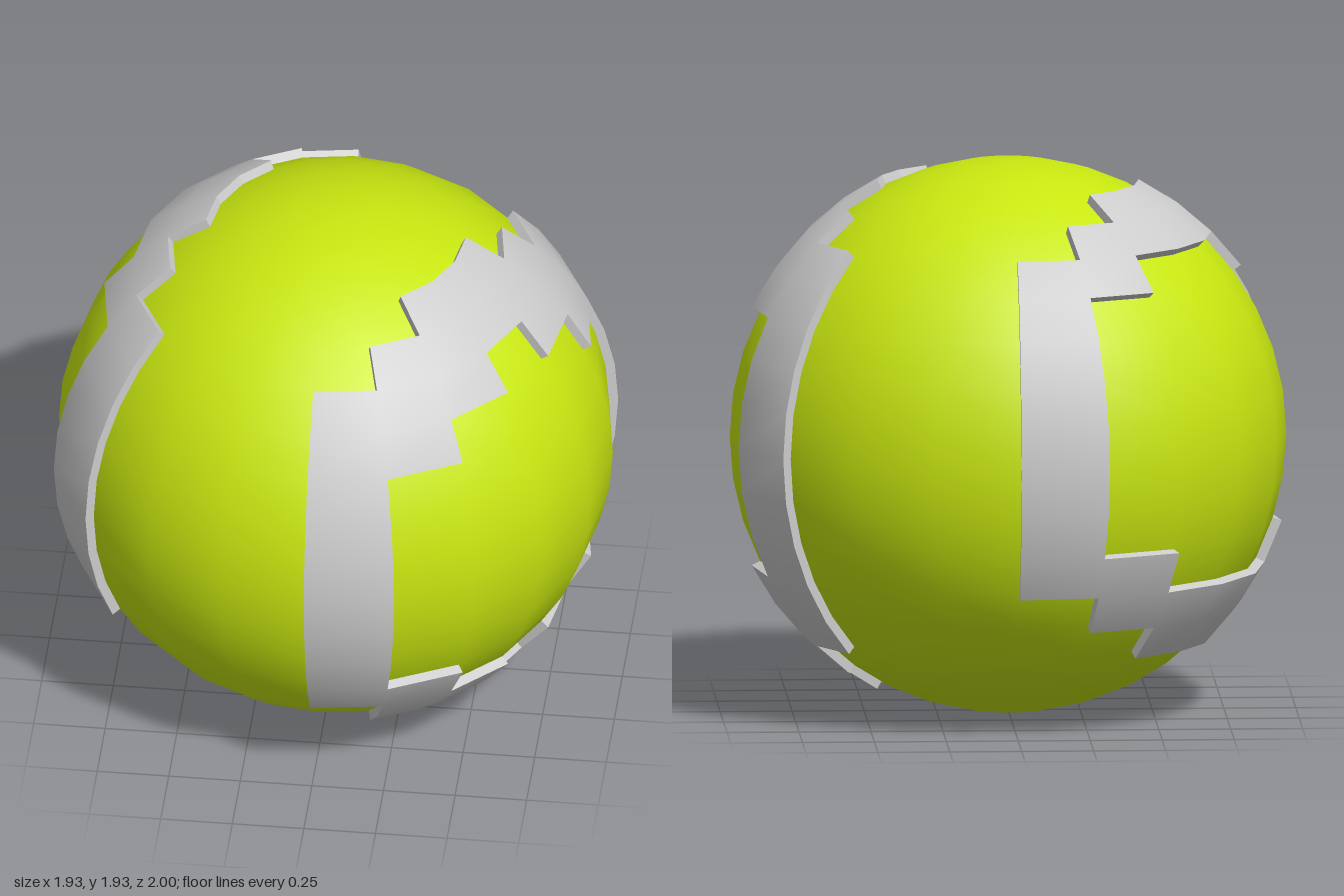
import * as THREE from 'three';

const CENTER_Y = 0.974, BALL_R = 0.967, SEAM_R = 1.0, SEAM_INNER_R = 0.95;
const COLUMN = Math.PI / 10, ROW = Math.PI / 20; // 18 degree columns, 9 degree rows

// Bands per column: column number -> list of [lowest row, highest row] counted from the equator
const leftBands = {
  0: [[-4, 5]],
  1: [[3, 6], [-6, -3]],
  2: [[4, 7], [-7, -4]],
  3: [[5, 7], [-7, -5]],
  4: [[4, 7], [-7, -4]],
  5: [[3, 6], [-6, -3]],
  6: [[-5, 5]],
};
const rightBands = {
  10: [[-3, 5]],
  11: [[4, 6], [-4, -2]],
  12: [[5, 7], [-5, -3]],
  13: [[5, 7], [-5, -3]],
  14: [[5, 7], [-5, -3]],
  15: [[4, 6], [-4, -2]],
  16: [[-3, 5]],
};

// Point on a sphere at a grid corner; column 0 starts at the front (+z)
function gridPoint([column, row], radius) {
  const lon = column * COLUMN, lat = row * ROW;
  return new THREE.Vector3(
    Math.sin(lon) * Math.cos(lat), Math.sin(lat), Math.cos(lon) * Math.cos(lat)
  ).multiplyScalar(radius);
}

// Raised strip: smooth outer cells, with a flat wall along every open edge
function seamGeometry(bands) {
  const positions = [], normals = [];
  const addQuad = (corners, cornerNormals) => {
    for (const i of [0, 1, 2, 0, 2, 3]) {
      positions.push(...corners[i].toArray());
      normals.push(...cornerNormals[i].toArray());
    }
  };
  const filled = (column, row) =>
    (bands[column] || []).some(([low, high]) => row >= low && row < high);

  for (const key of Object.keys(bands)) {
    const c = Number(key);
    for (const [low, high] of bands[c]) {
      for (let r = low; r < high; r++) {
        const corners = [[c, r], [c + 1, r], [c + 1, r + 1], [c, r + 1]];
        addQuad(corners.map((p) => gridPoint(p, SEAM_R)), corners.map((p) => gridPoint(p, 1)));

        // Neighbours below, right, above and left match the corner order
        const neighbours = [[c, r - 1], [c + 1, r], [c, r + 1], [c - 1, r]];
        neighbours.forEach(([nc, nr], i) => {
          if (filled(nc, nr)) return;
          const p = corners[i], q = corners[(i + 1) % 4];
          const wall = [
            gridPoint(p, SEAM_R), gridPoint(p, SEAM_INNER_R),
            gridPoint(q, SEAM_INNER_R), gridPoint(q, SEAM_R),
          ];
          const normal = new THREE.Vector3().subVectors(wall[1], wall[0])
            .cross(new THREE.Vector3().subVectors(wall[2], wall[0])).normalize();
          addQuad(wall, [normal, normal, normal, normal]);
        });
      }
    }
  }
  const geometry = new THREE.BufferGeometry();
  geometry.setAttribute('position', new THREE.Float32BufferAttribute(positions, 3));
  geometry.setAttribute('normal', new THREE.Float32BufferAttribute(normals, 3));
  return geometry;
}

export function createModel() {
  const model = new THREE.Group();
  model.name = 'tennisBall';

  const addPart = (name, geometry, color) => {
    const mesh = new THREE.Mesh(geometry, new THREE.MeshStandardMaterial({ color }));
    mesh.name = name;
    mesh.position.y = CENTER_Y;
    model.add(mesh);
  };

  // Ball core
  addPart('ball', new THREE.SphereGeometry(BALL_R, 20, 20), 0xc8e610);

  // Stepped seam loops on either side
  addPart('leftSeam', seamGeometry(leftBands), 0xcccccc);
  addPart('rightSeam', seamGeometry(rightBands), 0xcccccc);

  return model;
}
